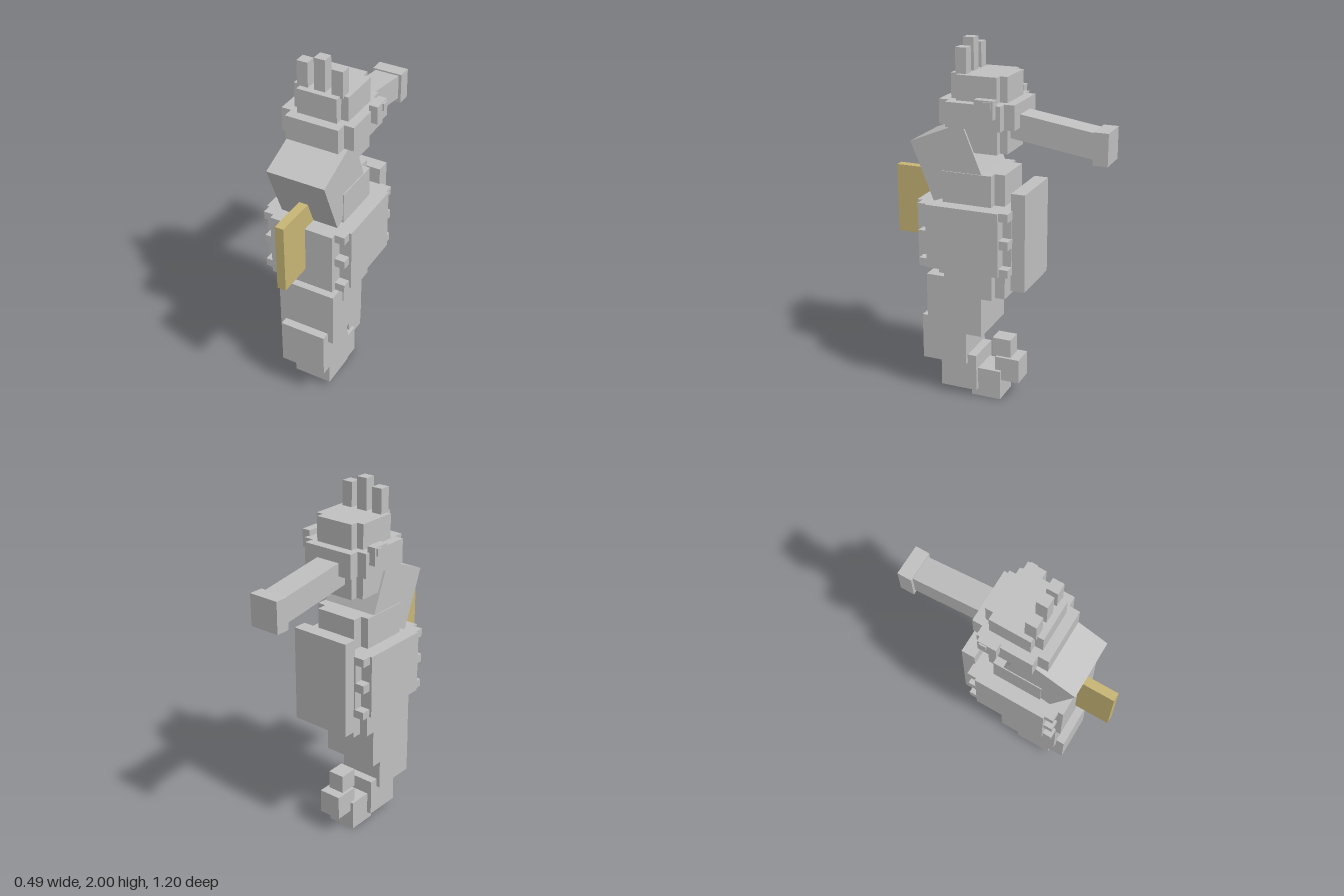
import * as THREE from 'three';

export function createModel() {
  const model = new THREE.Group();
  model.name = 'seahorse';
  const grey = new THREE.MeshStandardMaterial({ color: 0xc0c0c0 });
  grey.name = 'stone grey';
  const gold = new THREE.MeshStandardMaterial({ color: 0xc8b676 });
  gold.name = 'fin gold';

  // Box from its x, y and z limits
  function box(name, [x0, x1], [y0, y1], [z0, z1], material = grey) {
    const mesh = new THREE.Mesh(new THREE.BoxGeometry(x1 - x0, y1 - y0, z1 - z0), material);
    mesh.position.set((x0 + x1) / 2, (y0 + y1) / 2, (z0 + z1) / 2);
    mesh.name = name;
    model.add(mesh);
    return mesh;
  }
  // Box centred on x = 0 with half width w
  const mid = (name, w, y, z, material) => box(name, [-w, w], y, z, material);
  // Matching boxes on the left and right
  function pair(name, [x0, x1], y, z) {
    box(name + 'Left', [x0, x1], y, z);
    box(name + 'Right', [-x1, -x0], y, z);
  }

  // Crown
  mid('crownSpikeMiddle', 0.03, [1.82, 2.0], [0.138, 0.198]);
  pair('crownSpike', [0.065, 0.125], [1.82, 1.963], [0.138, 0.198]);

  // Head, each layer a cross of two boxes
  mid('headLong', 0.11, [1.432, 1.83], [-0.08, 0.23]);
  mid('headWide', 0.15, [1.432, 1.83], [-0.038, 0.186]);
  mid('cheekBandLong', 0.147, [1.567, 1.698], [-0.132, 0.283]);
  mid('cheekBandWide', 0.2, [1.567, 1.698], [-0.077, 0.225]);

  // Eyes
  pair('eye', [0.188, 0.235], [1.634, 1.73], [-0.052, 0.05]);
  pair('pupil', [0.22, 0.243], [1.685, 1.724], [-0.04, -0.001]);

  // Snout
  const snout = new THREE.Mesh(new THREE.BoxGeometry(0.138, 0.135, 0.56), grey);
  snout.name = 'snout';
  snout.position.set(0, 1.546, -0.28);
  snout.rotation.x = -0.148;
  model.add(snout);
  mid('snoutTip', 0.085, [1.416, 1.586], [-0.603, -0.525]);

  // Leaning neck
  const neck = new THREE.Mesh(new THREE.BoxGeometry(0.323, 0.339, 0.318), grey);
  neck.name = 'neck';
  neck.position.set(0, 1.367, 0.234);
  neck.rotation.x = 0.389;
  model.add(neck);

  // Torso
  mid('torsoLong', 0.12, [0.63, 1.322], [-0.07, 0.315]);
  mid('torsoWide', 0.167, [0.63, 1.322], [-0.013, 0.263]);

  // Belly armour with side plates, rivets and back plate
  mid('armourCore', 0.178, [0.803, 1.153], [-0.13, 0.405]);
  pair('sidePlate', [0.17, 0.246], [0.803, 1.153], [-0.08, 0.327]);
  for (const [y0, y1] of [[0.803, 0.847], [0.955, 1.003], [1.108, 1.153]]) {
    pair('frontRivet', [0.17, 0.233], [y0, y1], [0.32, 0.376]);
    pair('backRivet', [0.17, 0.233], [y0, y1], [-0.132, -0.075]);
  }
  mid('backPlate', 0.17, [0.71, 1.245], [-0.201, -0.124]);

  // Fin
  mid('fin', 0.024, [0.9, 1.282], [0.3, 0.602], gold);

  // Curled tail
  mid('tailBase', 0.162, [0.406, 0.727], [0.05, 0.37]);
  mid('tailUpper', 0.13, [0.205, 0.465], [0.156, 0.417]);
  mid('tailLower', 0.109, [0.043, 0.255], [0.105, 0.317]);
  mid('tailFoot', 0.083, [0, 0.17], [-0.027, 0.143]);
  mid('tailCurl', 0.065, [0.112, 0.25], [-0.13, 0.01]);
  mid('tailEnd', 0.048, [0.248, 0.355], [-0.075, 0.032]);

  return model;
}
